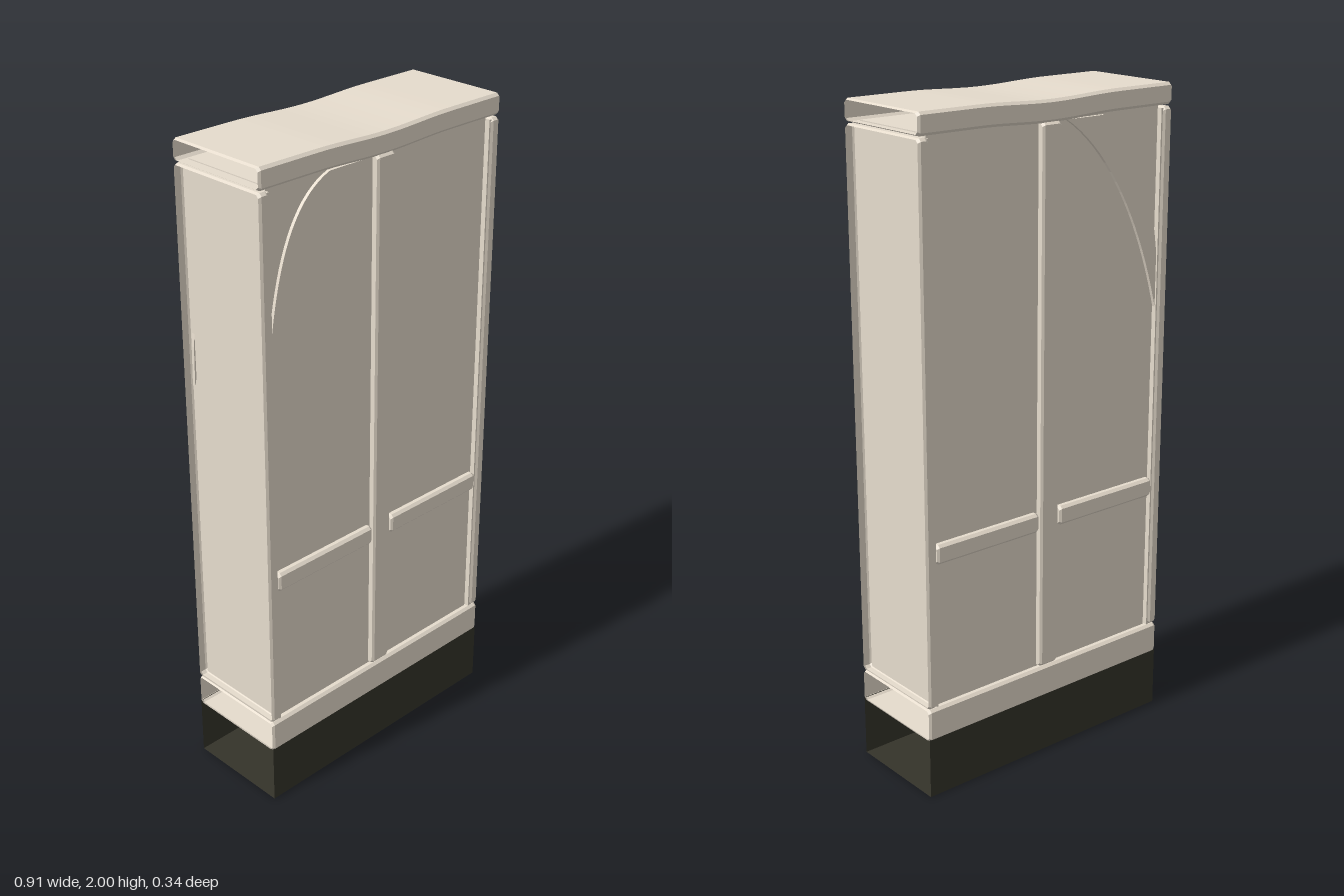
import * as THREE from 'three';

const stone = new THREE.MeshStandardMaterial({ color: 0xe6dccd, side: THREE.DoubleSide });
stone.name = 'warm beige';
const dark = new THREE.MeshStandardMaterial({ color: 0x34332a, side: THREE.DoubleSide });
dark.name = 'dark plinth';

const HALF_DEPTH = 0.168;

function mesh(name, geometry, material = stone) {
  const m = new THREE.Mesh(geometry, material);
  m.name = name;
  return m;
}

// Bevelled bar running along x, full depth; its ends can be left open
function bevelBar(x0, x1, y0, y1, { bevel = 0.008, capped = false, sag = () => 0, steps = 1 } = {}) {
  const ring = (x, inset) => {
    const s = sag(x), b = bevel;
    const lo = y0 + inset + s, hi = y1 - inset + s, z = HALF_DEPTH - inset;
    return [[lo, -z + b], [lo + b, -z], [hi - b, -z], [hi, -z + b],
      [hi, z - b], [hi - b, z], [lo + b, z], [lo, z - b]].map(([y, w]) => [x, y, w]);
  };
  const rings = [ring(x0, bevel / 2)];
  for (let i = 0; i <= steps; i++) {
    rings.push(ring(x0 + bevel + (x1 - x0 - 2 * bevel) * i / steps, 0));
  }
  rings.push(ring(x1, bevel / 2));
  const pos = [];
  for (let i = 0; i < rings.length - 1; i++) {
    for (let j = 0; j < 8; j++) {
      const k = (j + 1) % 8, r = rings[i], n = rings[i + 1];
      // each ring runs from bottom to top along the back, so turn the quad outwards
      pos.push(...r[j], ...n[k], ...r[k], ...r[j], ...n[j], ...n[k]);
    }
  }
  if (capped) {
    const a = rings[0], b = rings[rings.length - 1];
    for (let j = 1; j < 7; j++) {
      pos.push(...a[0], ...a[j + 1], ...a[j]);
      pos.push(...b[0], ...b[j], ...b[j + 1]);
    }
  }
  // the ring is clockwise or not depending on the axis order: keep normals pointing out
  const g = new THREE.BufferGeometry();
  for (let t = 0; t < pos.length; t += 9) {
    const [A, B, C] = [0, 3, 6].map(o => new THREE.Vector3(pos[t + o], pos[t + o + 1], pos[t + o + 2]));
    const normal = B.clone().sub(A).cross(C.clone().sub(A));
    const out = A.add(B).add(C).divideScalar(3).sub(new THREE.Vector3((x0 + x1) / 2, (y0 + y1) / 2, 0));
    if (normal.dot(out) < 0) {
      for (let c = 3; c < 6; c++) [pos[t + c], pos[t + c + 3]] = [pos[t + c + 3], pos[t + c]];
    }
  }
  g.setAttribute('position', new THREE.Float32BufferAttribute(pos, 3));
  g.computeVertexNormals();
  return g;
}

function box(w, h, d, x, y, z) {
  return new THREE.BoxGeometry(w, h, d).translate(x, y, z);
}

export function createModel() {
  const group = new THREE.Group();

  // Plinth, open at both ends
  const plinth = new THREE.Group();
  plinth.name = 'plinth';
  for (const s of [-1, 1]) {
    const wall = new THREE.PlaneGeometry(0.904, 0.19);
    if (s < 0) wall.rotateY(Math.PI);
    plinth.add(mesh('plinthWall', wall.translate(0, 0.095, s * (HALF_DEPTH - 0.002)), dark));
  }
  plinth.add(mesh('plinthFloor', new THREE.PlaneGeometry(0.904, 2 * HALF_DEPTH - 0.004).rotateX(Math.PI / 2), dark));
  group.add(plinth);

  // Bottom rail and gently dipped top rail
  group.add(mesh('bottomRail', bevelBar(-0.453, 0.453, 0.182, 0.285)));
  const dip = x => -0.004 * (1 + Math.cos(Math.PI * Math.min(1, Math.abs(x) / 0.25)));
  group.add(mesh('topRail', bevelBar(-0.453, 0.453, 1.937, 2, { sag: dip, steps: 24 })));

  // Recessed panels
  group.add(mesh('mainPanel', box(0.83, 1.66, 0.296, 0, 1.11, 0)));
  for (const s of [-1, 1]) {
    group.add(mesh('sidePanel', box(0.008, 1.64, 0.326, s * 0.42, 1.108, 0)));
  }

  // Upright stiles
  group.add(mesh('leftStile', bevelBar(0.42, 0.453, 0.287, 1.932)));
  group.add(mesh('rightStile', bevelBar(-0.453, -0.42, 0.287, 1.932)));
  group.add(mesh('centreStile', bevelBar(-0.034, 0.034, 0.287, 1.932, { capped: true })));

  // Cross bars
  for (const s of [-1, 1]) {
    group.add(mesh('crossBar', bevelBar(s * 0.227 - 0.187, s * 0.227 + 0.187, 0.733, 0.793, { capped: true })));
  }

  // Curved crescent brace on both faces
  const brace = new THREE.Shape();
  brace.moveTo(-0.43, 1.28);
  brace.bezierCurveTo(-0.37, 1.56, -0.24, 1.82, -0.06, 1.93);
  brace.lineTo(-0.2, 1.93);
  brace.bezierCurveTo(-0.34, 1.88, -0.4, 1.7, -0.428, 1.4);
  brace.closePath();
  for (const z of [0.148, -0.158]) {
    const g = new THREE.ExtrudeGeometry(brace, { depth: 0.01, bevelEnabled: false, curveSegments: 20 });
    group.add(mesh('curvedBrace', g.translate(0, 0, z)));
  }
  return group;
}
